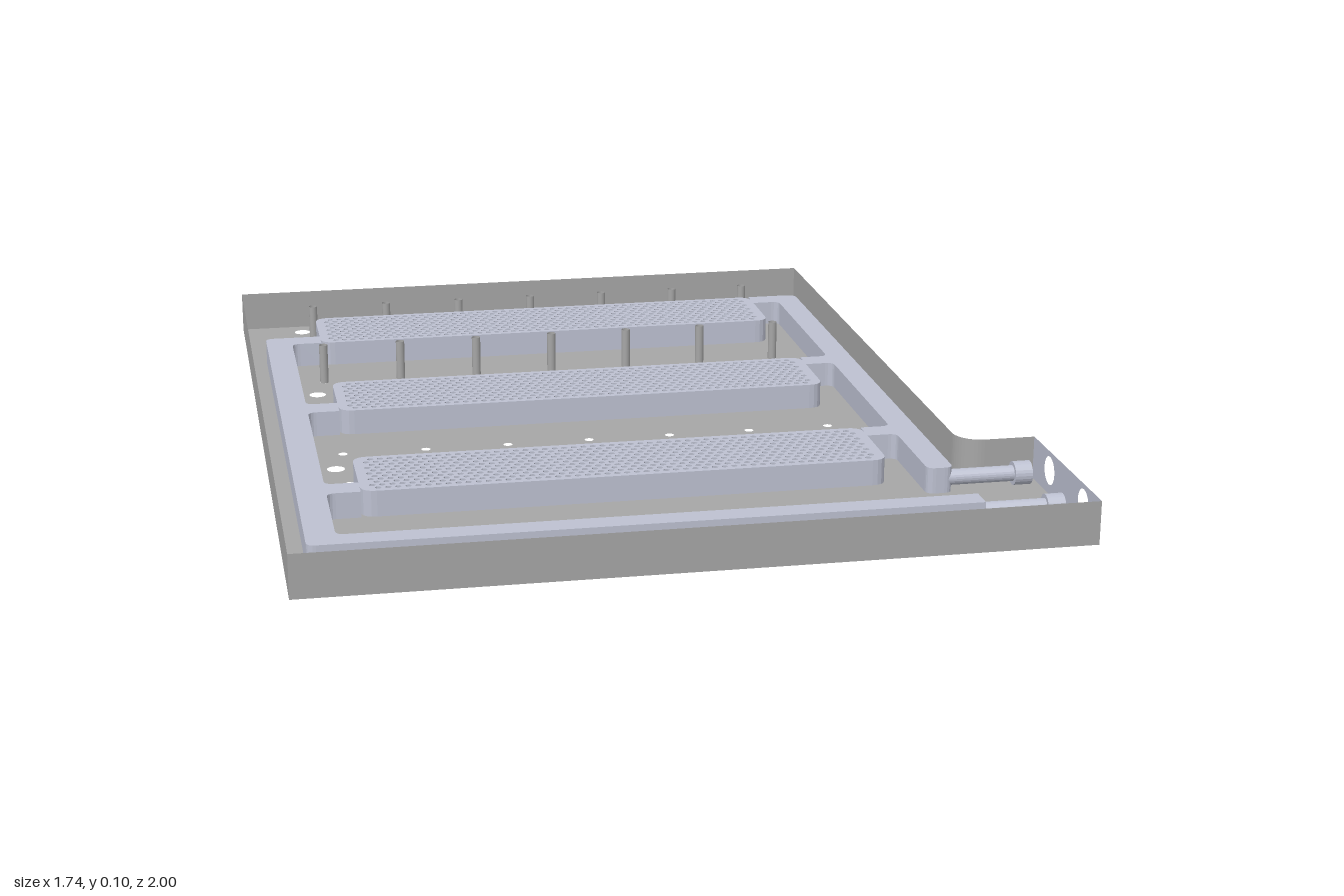
import * as THREE from 'three';

const H = 0.1;                      // plate height
const DUCT_TOP = 0.085, DUCT_H = 0.06;
const PORT_Y = 0.055, PORT_Z = [0.67, 0.89];

// Closed outline in (x, z) from [x, z, cornerRadius] points
function roundedShape(points) {
  const shape = new THREE.Shape();
  const n = points.length;
  points.forEach(([x, z, r = 0], i) => {
    const p = new THREE.Vector2(x, z);
    const toward = (q) => new THREE.Vector2(q[0], q[1]).sub(p).setLength(r).add(p);
    const a = toward(points[(i + n - 1) % n]);
    const b = toward(points[(i + 1) % n]);
    if (i === 0) shape.moveTo(a.x, a.y); else shape.lineTo(a.x, a.y);
    if (r > 0) shape.quadraticCurveTo(x, z, b.x, b.y);
  });
  shape.closePath();
  return shape;
}

function addHole(shape, x, y, r, segments) {
  const pts = [];
  for (let i = 0; i < segments; i++) {
    const a = -i / segments * Math.PI * 2;
    pts.push(new THREE.Vector2(x + r * Math.cos(a), y + r * Math.sin(a)));
  }
  shape.holes.push(new THREE.Path(pts));
}

// Extrudes an (x, z) outline downward from the duct ceiling
function ductGeometry(shape) {
  const g = new THREE.ExtrudeGeometry(shape, { depth: DUCT_H, bevelEnabled: false, curveSegments: 5 });
  return g.rotateX(Math.PI / 2).translate(0, DUCT_TOP, 0);
}

export function createModel() {
  const model = new THREE.Group();
  const grey = new THREE.MeshStandardMaterial({ color: 0xa6a6a6, side: THREE.DoubleSide });
  grey.name = 'plate grey';
  const blue = new THREE.MeshStandardMaterial({ color: 0xbdc1d1, side: THREE.DoubleSide });
  blue.name = 'duct pale blue';
  const add = (name, geometry, material, parent = model) => {
    const mesh = new THREE.Mesh(geometry, material);
    mesh.name = name;
    parent.add(mesh);
    return mesh;
  };

  // Plate outline, running from one end of the port face round to the other
  const outline = [[0.868, 1], [-0.868, 1], [-0.868, -1], [0.69, -1]];
  for (let i = 0; i <= 12; i++) {
    const a = Math.PI - i / 12 * Math.PI / 2;
    outline.push([0.75 + 0.06 * Math.cos(a), 0.5 + 0.06 * Math.sin(a)]);
  }
  outline.push([0.868, 0.56]);

  // Base sheet with mounting holes
  const base = new THREE.Shape(outline.map(([x, z]) => new THREE.Vector2(x, z)));
  const boltX = [-0.71, -0.605, 0.42, 0.525];
  const screwX = Array.from({ length: 7 }, (_, i) => -0.685 + i * 0.1975);
  for (const z of [-0.945, -0.37, 0.21, 0.81]) for (const x of boltX) addHole(base, x, z, 0.021, 20);
  for (const z of [-0.845, -0.475, -0.265, 0.105, 0.315, 0.685])
    for (const x of screwX) addHole(base, x, z, 0.011, 14);
  addHole(base, -0.487, 0.81, 0.006, 10);
  add('baseSheet', new THREE.ShapeGeometry(base).rotateX(Math.PI / 2), grey);

  // Outer walls, one quad per outline segment
  const wall = [];
  for (let i = 0; i < outline.length - 1; i++) {
    const [ax, az] = outline[i], [bx, bz] = outline[i + 1];
    wall.push(ax, 0, az, ax, H, az, bx, H, bz, ax, 0, az, bx, H, bz, bx, 0, bz);
  }
  const wallGeometry = new THREE.BufferGeometry();
  wallGeometry.setAttribute('position', new THREE.Float32BufferAttribute(wall, 3));
  // Quads face outward once each triangle is reversed
  const order = [];
  for (let i = 0; i < wall.length / 3; i += 3) order.push(i, i + 2, i + 1);
  wallGeometry.setIndex(order);
  const wallFlat = wallGeometry.toNonIndexed();
  wallFlat.computeVertexNormals();
  add('outerWalls', wallFlat, grey);

  // Port face with two round openings
  const face = new THREE.Shape([[-1, 0], [-0.56, 0], [-0.56, H], [-1, H]].map((p) => new THREE.Vector2(...p)));
  for (const z of PORT_Z) addHole(face, -z, PORT_Y, 0.033, 28);
  add('portFace', new THREE.ShapeGeometry(face).rotateY(Math.PI / 2).translate(0.868, 0, 0), blue);

  // Counterbored port tubes leading into the ducts
  const profile = [[0, 0.585], [0.018, 0.605], [0.018, 0.78], [0.027, 0.78], [0.027, 0.82]]
    .map((p) => new THREE.Vector2(...p));
  for (const z of PORT_Z) {
    const tube = new THREE.LatheGeometry(profile, 24).toNonIndexed();
    tube.computeVertexNormals();
    add('portTube', tube.rotateZ(-Math.PI / 2).translate(0, PORT_Y, z), blue);
  }

  // Supply duct: left run, front run and three feeders
  const r = 0.02;
  const supply = [[-0.825, 0.922, r], [-0.825, -0.605, r]];
  for (const [a, b] of [[-0.605, -0.545], [-0.03, 0.035], [0.55, 0.612]]) {
    if (a > -0.6) supply.push([-0.76, a, r]);
    supply.push([-0.685, a], [-0.685, b], [-0.76, b, r]);
  }
  supply.push([-0.76, 0.866, r], [0.635, 0.866], [0.635, 0.922]);
  add('supplyDuct', ductGeometry(roundedShape(supply)), blue);

  // Return duct: right run and three feeders
  const back = [[0.635, -0.775, 0.025], [0.635, 0.69, r], [0.575, 0.69, r]];
  for (const [a, b] of [[0.38, 0.44], [-0.195, -0.135], [-0.775, -0.715]]) {
    back.push([0.575, b, r], [0.505, b], [0.505, a]);
    if (a > -0.7) back.push([0.575, a, r]);
  }
  add('returnDuct', ductGeometry(roundedShape(back)), blue);

  // Cooling pads pierced by a staggered field of pins
  const x0 = -0.685, x1 = 0.505, half = 0.116;
  const pad = roundedShape([[x0, -half, 0.035], [x1, -half, 0.035], [x1, half, 0.035], [x0, half, 0.035]]);
  const pitch = 0.0222, rowGap = 0.0192;
  for (let row = -5; row <= 5; row++) {
    const odd = Math.abs(row) % 2;
    for (let i = 0; i < 52 - odd; i++)
      addHole(pad, x0 + 0.029 + (i + odd / 2) * pitch, row * rowGap, 0.0075, 6);
  }
  const padGeometry = ductGeometry(pad);
  for (const z of [-0.66, -0.08, 0.496]) add('coolingPad', padGeometry, blue).position.z = z;

  // Screw sleeves beside the rear pad
  const sleeve = new THREE.CylinderGeometry(0.011, 0.011, H, 14, 1, true);
  for (const z of [-0.845, -0.475])
    for (const x of screwX) add('screwSleeve', sleeve, grey).position.set(x, H / 2, z);

  return model;
}
